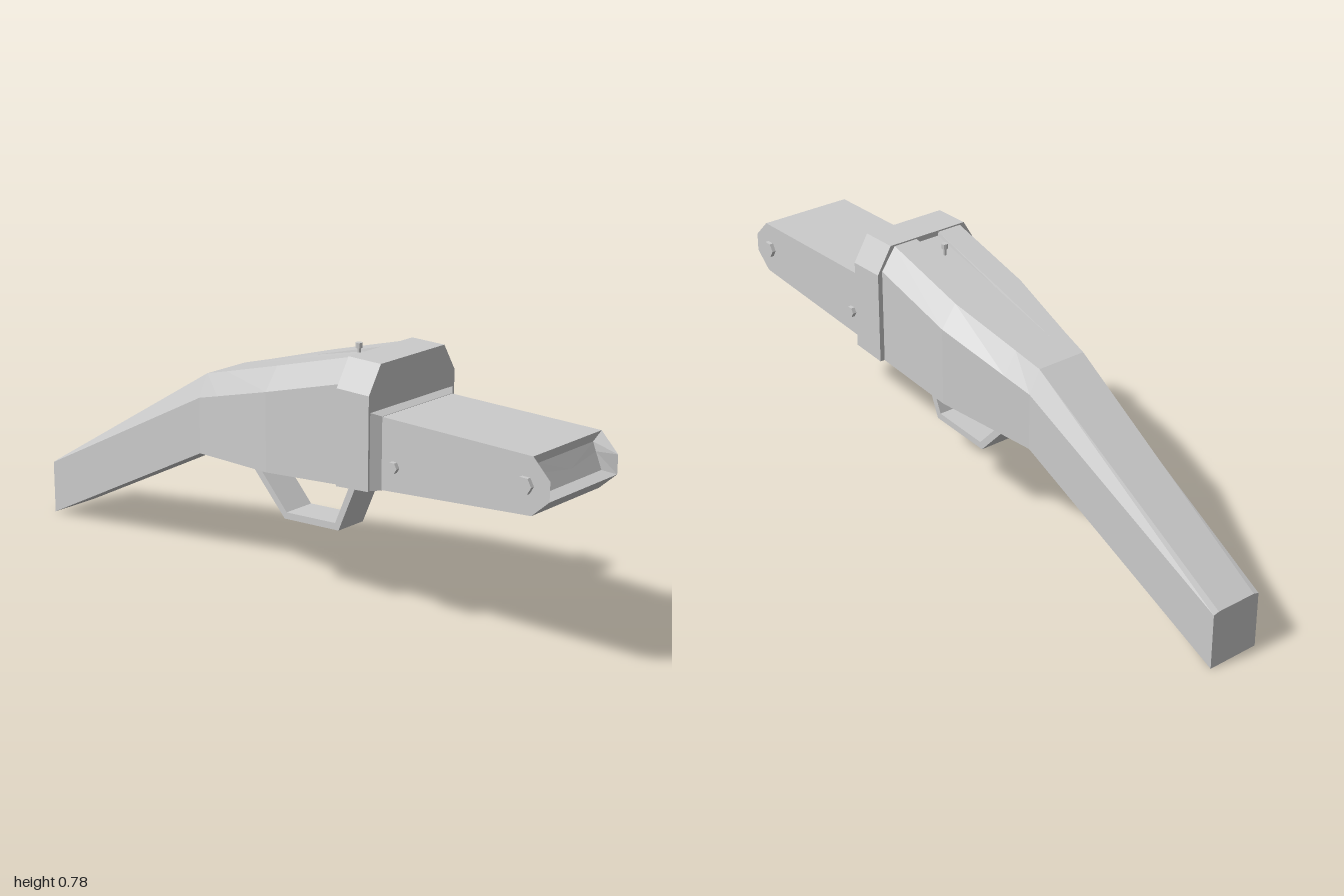
import * as THREE from 'three';

const material = new THREE.MeshStandardMaterial({ color: 0xcccccc, flatShading: true });

// Mirror the +x half of a section (listed bottom to top) into a closed ring
const ring = half => [...half, ...half.map(([x, y, z]) => [-x, y, z]).reverse()];

// Skin a row of rings, ordered from back to front, and close both ends
function loft(halves) {
  const rings = halves.map(ring), pos = [];
  const tri = (a, b, c) => pos.push(...a, ...b, ...c);
  const n = rings[0].length;
  for (let i = 0; i < rings.length - 1; i++) {
    for (let j = 0; j < n; j++) {
      const k = (j + 1) % n, A = rings[i], B = rings[i + 1];
      tri(A[j], A[k], B[k]);
      tri(A[j], B[k], B[j]);
    }
  }
  for (const [r, back] of [[rings[0], true], [rings[rings.length - 1], false]]) {
    const c = [0, 1, 2].map(d => r.reduce((s, p) => s + p[d], 0) / n);
    for (let j = 0; j < n; j++) {
      const k = (j + 1) % n;
      back ? tri(c, r[k], r[j]) : tri(c, r[j], r[k]);
    }
  }
  const geo = new THREE.BufferGeometry();
  geo.setAttribute('position', new THREE.Float32BufferAttribute(pos, 3));
  geo.computeVertexNormals();
  return geo;
}

export function createModel() {
  const model = new THREE.Group();
  const add = (name, geo, x = 0, y = 0, z = 0) => {
    const mesh = new THREE.Mesh(geo, material);
    mesh.name = name;
    mesh.position.set(x, y, z);
    model.add(mesh);
    return mesh;
  };

  // Tapering stock with chamfered top edges and a shallow channel that fades out:
  // z, half width, bottom, shoulder, top, top half width, channel depth
  const stock = [
    [-1, 0.083, 0, 0.17, 0.175, 0.065, 0],
    [-0.29, 0.115, 0.365, 0.537, 0.605, 0.08, 0],
    [-0.2, 0.13, 0.373, 0.563, 0.63, 0.09, 0],
    [0.03, 0.168, 0.392, 0.63, 0.697, 0.12, 0.006],
    [0.315, 0.168, 0.42, 0.71, 0.777, 0.12, 0.012],
  ];
  add('stock', loft(stock.map(([z, w, bottom, shoulder, top, tw, d]) => [
    [w, bottom, z], [w, shoulder, z], [tw, top, z], [0.04, top, z], [0.038, top - d, z],
  ])));

  // Collar with cut top corners
  add('collar', loft([[0.31, 0.42], [0.425, 0.43]].map(([z, bottom]) => [
    [0.183, bottom, z], [0.183, 0.7, z], [0.135, 0.78, z],
  ])));

  // Bevelled lip where the collar meets the front housing
  add('collarLip', loft([
    [[0.183, 0.431, 0.42], [0.183, 0.655, 0.42]],
    [[0.15, 0.431, 0.445], [0.15, 0.641, 0.445]],
  ]));

  // Front housing: chamfered nose with a recessed opening
  const w = 0.15, v = 0.12;
  const low = [w, 0.53, 1], up = [w, 0.585, 1], top = [w, 0.64, 0.945];
  add('frontHousing', loft([
    [[w, 0.43, 0.42], [w, 0.5, 0.42], [w, 0.58, 0.42], [w, 0.64, 0.42]],
    [[w, 0.48, 0.945], low, up, top],
    [low, low, up, top],
    [[v, 0.543, 0.97], [v, 0.543, 0.97], [v, 0.59, 0.95], [v, 0.615, 0.94]],
  ]));

  // Hexagonal bolts on both sides
  for (const side of [-1, 1]) {
    for (const [y, z, r] of [[0.56, 0.925, 0.025], [0.508, 0.49, 0.017]]) {
      const bolt = add('bolt', new THREE.CylinderGeometry(r, r, 0.022, 6), side * 0.151, y, z);
      bolt.rotation.z = Math.PI / 2;
    }
  }

  // Bent strip guard; shape x runs along -z
  const guard = new THREE.Shape([
    [-0.29, 0.425], [-0.205, 0.228], [0.005, 0.213], [0.175, 0.39],
    [0.145, 0.39], [-0.003, 0.234], [-0.192, 0.248], [-0.268, 0.425],
  ].map(p => new THREE.Vector2(...p)));
  const guardGeo = new THREE.ExtrudeGeometry(guard, { depth: 0.106, bevelEnabled: false });
  guardGeo.translate(0, 0, -0.053);
  guardGeo.rotateY(Math.PI / 2);
  add('triggerGuard', guardGeo);

  // Small sight bead on a stem
  add('sightStem', new THREE.CylinderGeometry(0.005, 0.005, 0.04, 8), 0, 0.75, 0.23);
  add('sightBead', new THREE.CylinderGeometry(0.01, 0.01, 0.015, 8), 0, 0.77, 0.23);

  return model;
}
